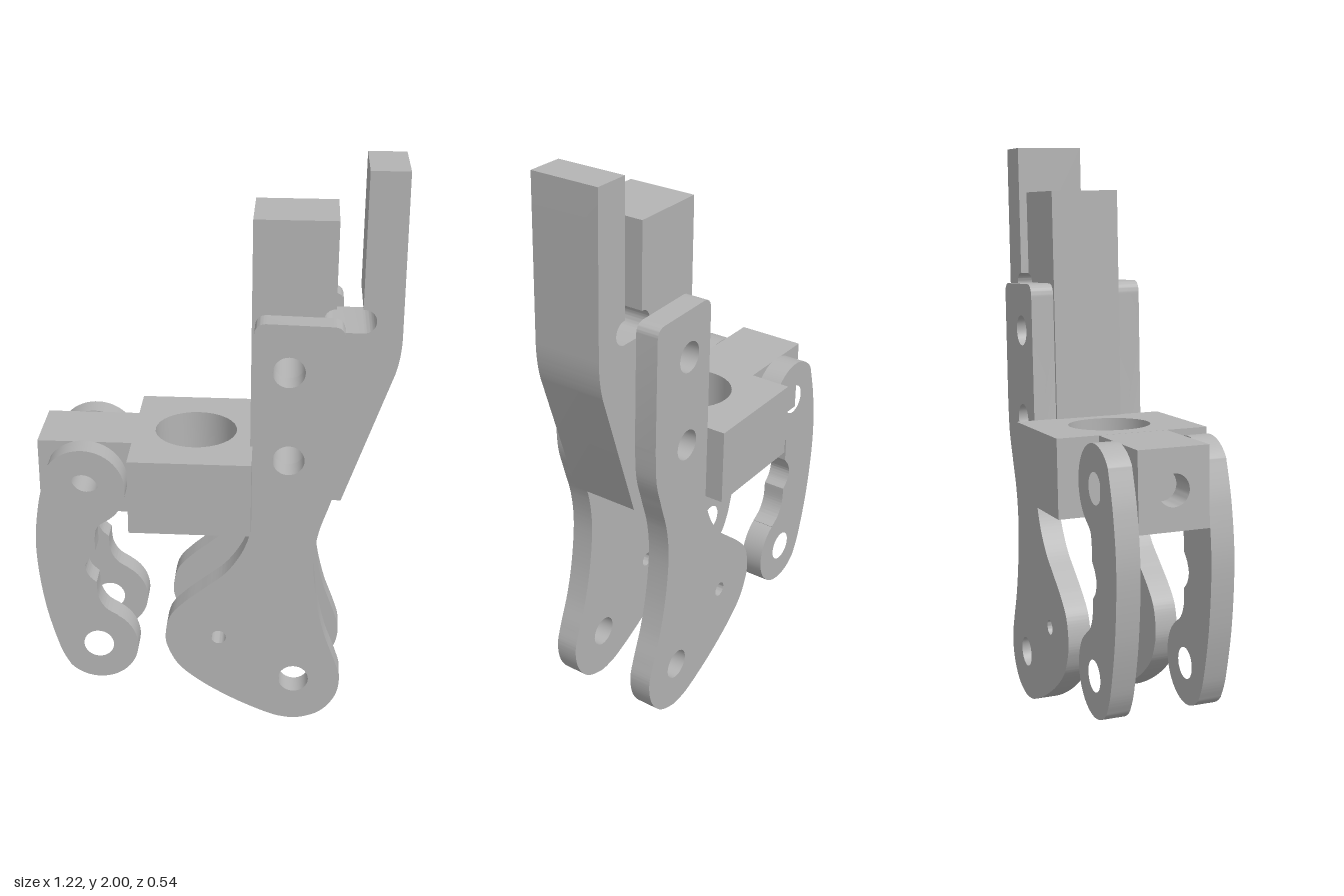
import * as THREE from 'three';
import { toCreasedNormals } from 'three/addons/utils/BufferGeometryUtils.js';

const metal = new THREE.MeshStandardMaterial({ color: 0xb3b3b3 });
metal.name = 'plain grey metal';

const vecs = (pts) => pts.map(([x, y]) => new THREE.Vector2(x, y));

// Round hole cut into a shape
function drill(shape, x, y, r) {
  const hole = new THREE.Path();
  hole.absarc(x, y, r, 0, Math.PI * 2, true);
  shape.holes.push(hole);
}

function rect(x0, y0, x1, y1) {
  return new THREE.Shape(vecs([[x0, y0], [x1, y0], [x1, y1], [x0, y1]]));
}

// Extrusion centred on z = 0, smooth round walls and sharp rims
function slab(name, shape, depth) {
  const geo = new THREE.ExtrudeGeometry(shape, { depth, bevelEnabled: false, curveSegments: 16 });
  geo.translate(0, 0, -depth / 2);
  const mesh = new THREE.Mesh(toCreasedNormals(geo, 0.6), metal);
  mesh.name = name;
  return mesh;
}

// Long side plate: straight top, waisted middle, wide foot
function sidePlateShape() {
  const s = new THREE.Shape();
  s.moveTo(0.13, 1.48);
  s.lineTo(0.13, 0.8);
  s.splineThru(vecs([[0.12, 0.74], [0.09, 0.67], [0.04, 0.6], [-0.03, 0.54], [-0.1, 0.48],
    [-0.15, 0.42], [-0.167, 0.34], [-0.155, 0.28], [-0.115, 0.21], [-0.03, 0.14],
    [0.08, 0.075], [0.19, 0.025], [0.25, 0.008], [0.31, 0.007], [0.385, 0.038],
    [0.436, 0.105], [0.45, 0.185], [0.43, 0.26], [0.39, 0.37], [0.36, 0.5],
    [0.345, 0.65], [0.357, 0.77], [0.39, 0.88], [0.418, 0.98], [0.425, 1.1]]));
  s.lineTo(0.42, 1.48);
  s.quadraticCurveTo(0.42, 1.52, 0.38, 1.52);
  s.lineTo(0.17, 1.525);
  s.quadraticCurveTo(0.13, 1.525, 0.13, 1.48);
  drill(s, 0.245, 1.36, 0.053);
  drill(s, 0.25, 1.045, 0.053);
  drill(s, 0.02, 0.34, 0.026);
  drill(s, 0.287, 0.175, 0.053);
  return s;
}

// Curved hanging link with a round eye at each end
function linkShape() {
  const s = new THREE.Shape();
  s.absarc(-0.44, 0.915, 0.143, 2.5, -1.0, true);
  s.splineThru(vecs([[-0.395, 0.77], [-0.405, 0.73], [-0.405, 0.675]]));
  s.lineTo(-0.43, 0.645);
  s.splineThru(vecs([[-0.442, 0.61], [-0.43, 0.575], [-0.405, 0.55]]));
  s.splineThru(vecs([[-0.4, 0.49], [-0.375, 0.445], [-0.335, 0.418]]));
  s.absarc(-0.405, 0.295, 0.14, 1.05, -2.4, true);
  s.splineThru(vecs([[-0.545, 0.28], [-0.59, 0.465], [-0.61, 0.68], [-0.592, 0.86], [-0.555, 1.0]]));
  drill(s, -0.44, 0.915, 0.053);
  drill(s, -0.405, 0.295, 0.053);
  return s;
}

// Upright body with a fixed jaw and a relief slot between them
function bodyShape() {
  const s = new THREE.Shape();
  s.moveTo(0.12, 0.86);
  s.lineTo(0.43, 0.86);
  s.lineTo(0.588, 1.33);
  s.quadraticCurveTo(0.605, 1.39, 0.605, 1.46);
  s.lineTo(0.6, 2);
  s.lineTo(0.475, 2);
  s.lineTo(0.475, 1.55);
  s.absarc(0.48, 1.51, 0.04, Math.PI / 2, -Math.PI / 2, true);
  s.absarc(0.39, 1.51, 0.04, -Math.PI / 2, -Math.PI * 1.5, true);
  s.lineTo(0.39, 1.84);
  s.lineTo(0.12, 1.84);
  drill(s, 0.245, 1.36, 0.053);
  drill(s, 0.25, 1.045, 0.053);
  return s;
}

export function createModel() {
  const model = new THREE.Group();
  model.name = 'clampBracket';
  const tilted = new THREE.Group();
  tilted.name = 'leaningAssembly';
  tilted.rotation.x = -0.02;
  tilted.position.z = 0.02;
  model.add(tilted);

  tilted.add(slab('bodyWithJaw', bodyShape(), 0.24));

  // Mirrored plates and links
  for (const [side, z] of [['front', 0.16], ['back', -0.16]]) {
    const plate = slab(side + 'SidePlate', sidePlateShape(), 0.08);
    const link = slab(side + 'Link', linkShape(), 0.08);
    plate.position.z = link.position.z = z;
    tilted.add(plate, link);
  }

  // Cross block with a vertical bore
  const blockOutline = rect(-0.28, -0.265, 0.13, 0.265);
  drill(blockOutline, -0.07, 0, 0.14);
  const block = slab('crossBlock', blockOutline, 0.265);
  block.rotation.x = Math.PI / 2;
  block.position.y = 0.922;
  tilted.add(block);

  // Neck with the pin hole, then its tip with a bore in the end face
  const neckOutline = rect(-0.5, 0.79, -0.28, 1.054);
  drill(neckOutline, -0.44, 0.915, 0.053);
  tilted.add(slab('neck', neckOutline, 0.24));

  const tipOutline = rect(-0.12, 0.79, 0.12, 1.054);
  drill(tipOutline, 0, 0.92, 0.053);
  const tip = slab('neckTip', tipOutline, 0.1);
  tip.rotation.y = Math.PI / 2;
  tip.position.x = -0.55;
  tilted.add(tip);

  return model;
}
